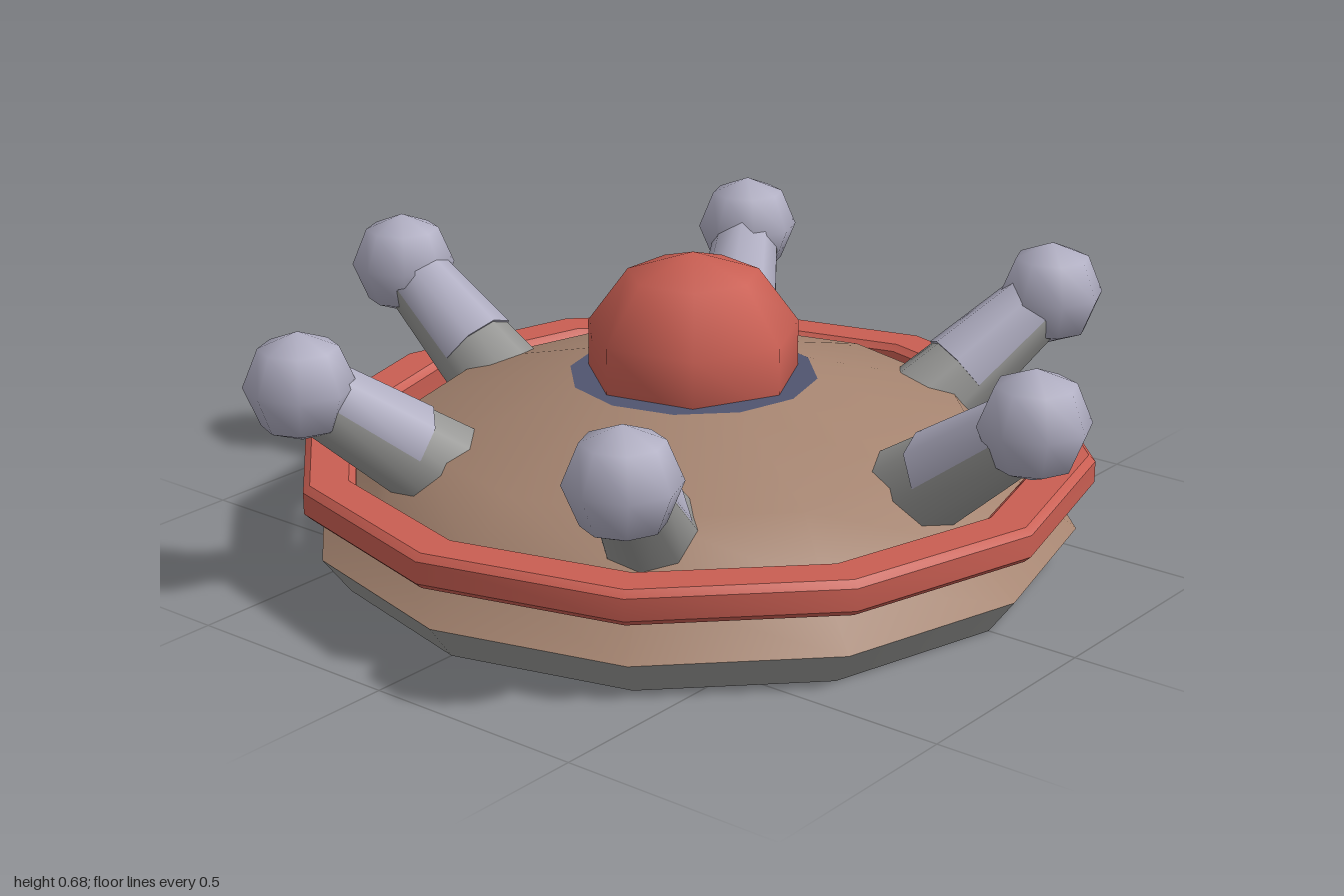
import * as THREE from 'three';
import { toCreasedNormals } from 'three/addons/utils/BufferGeometryUtils.js';

const mat = (name, color) => {
  const m = new THREE.MeshStandardMaterial({ color });
  m.name = name;
  return m;
};

export function createModel() {
  const red = mat('red', 0xc95e52);
  const brown = mat('brown', 0xa4836f);
  const grey = mat('grey', 0x969694);
  const lavender = mat('lavender', 0xb0aec2);
  const navy = mat('navy', 0x50546f);

  const model = new THREE.Group();
  model.name = 'saucer';

  const add = (name, geometry, material, parent = model) => {
    const mesh = new THREE.Mesh(geometry, material);
    mesh.name = name;
    parent.add(mesh);
    return mesh;
  };
  // Twelve-sided turned part from [radius, height] pairs, listed bottom to top
  const turned = (points) =>
    new THREE.LatheGeometry(points.map(([r, y]) => new THREE.Vector2(r, y)), 12);

  // Hull: flared base band, waisted shell, dark end plates
  add('baseBand', turned([[0.79, 0], [0.85, 0.08]]), grey);
  add('hullShell', turned([[0.85, 0.08], [0.725, 0.18], [0.62, 0.3], [0.275, 0.398]]), brown);
  const bottom = add('bottomPlate', new THREE.CircleGeometry(0.79, 12), navy);
  bottom.rotation.x = Math.PI / 2;
  const deck = add('topPlate', new THREE.CircleGeometry(0.275, 12), navy);
  deck.rotation.x = -Math.PI / 2;
  deck.position.y = 0.398;

  // Floating bevelled ring around the waist
  add('ring', toCreasedNormals(turned([
    [0.785, 0.178], [0.87, 0.178], [0.885, 0.192], [0.885, 0.24], [0.87, 0.254],
    [0.785, 0.254], [0.77, 0.24], [0.77, 0.192], [0.785, 0.178],
  ]), 0.6), red);

  // Seven-sided cockpit dome, sunk into the top plate
  const dome = add('dome', new THREE.SphereGeometry(0.25, 7, 5), red);
  dome.rotation.y = Math.PI;
  dome.position.y = 0.425;

  // Six tapered arms with ball tips
  const tip = new THREE.Vector2(0.88, 0.48);
  const inward = new THREE.Vector2(-0.8, -0.6);
  const tilt = Math.atan2(0.6, 0.8) - Math.PI / 2;
  // Cone frustum along the arm between distances a and b from the ball centre
  const frustum = (name, a, b, lift, material, parent) => {
    const radius = (t) => 0.075 + 0.085 * t;
    const mesh = add(name, new THREE.CylinderGeometry(radius(a), radius(b), b - a, 8), material, parent);
    const mid = tip.clone().addScaledVector(inward, (a + b) / 2);
    mesh.position.set(mid.x - 0.6 * lift, mid.y + 0.8 * lift, 0);
    mesh.rotation.z = tilt;
  };
  for (let i = 0; i < 6; i++) {
    const angle = (i * Math.PI) / 3;
    const arm = new THREE.Group();
    arm.name = 'arm';
    arm.rotation.y = angle;
    model.add(arm);
    frustum('armSocket', 0.02, 0.5, 0, grey, arm);
    frustum('armSleeve', 0.02, 0.28, 0.006, lavender, arm);
    const ball = add('armBall', new THREE.SphereGeometry(0.12, 8, 4), lavender, arm);
    ball.position.set(tip.x, tip.y, 0);
    ball.rotation.y = -angle;
  }
  return model;
}
